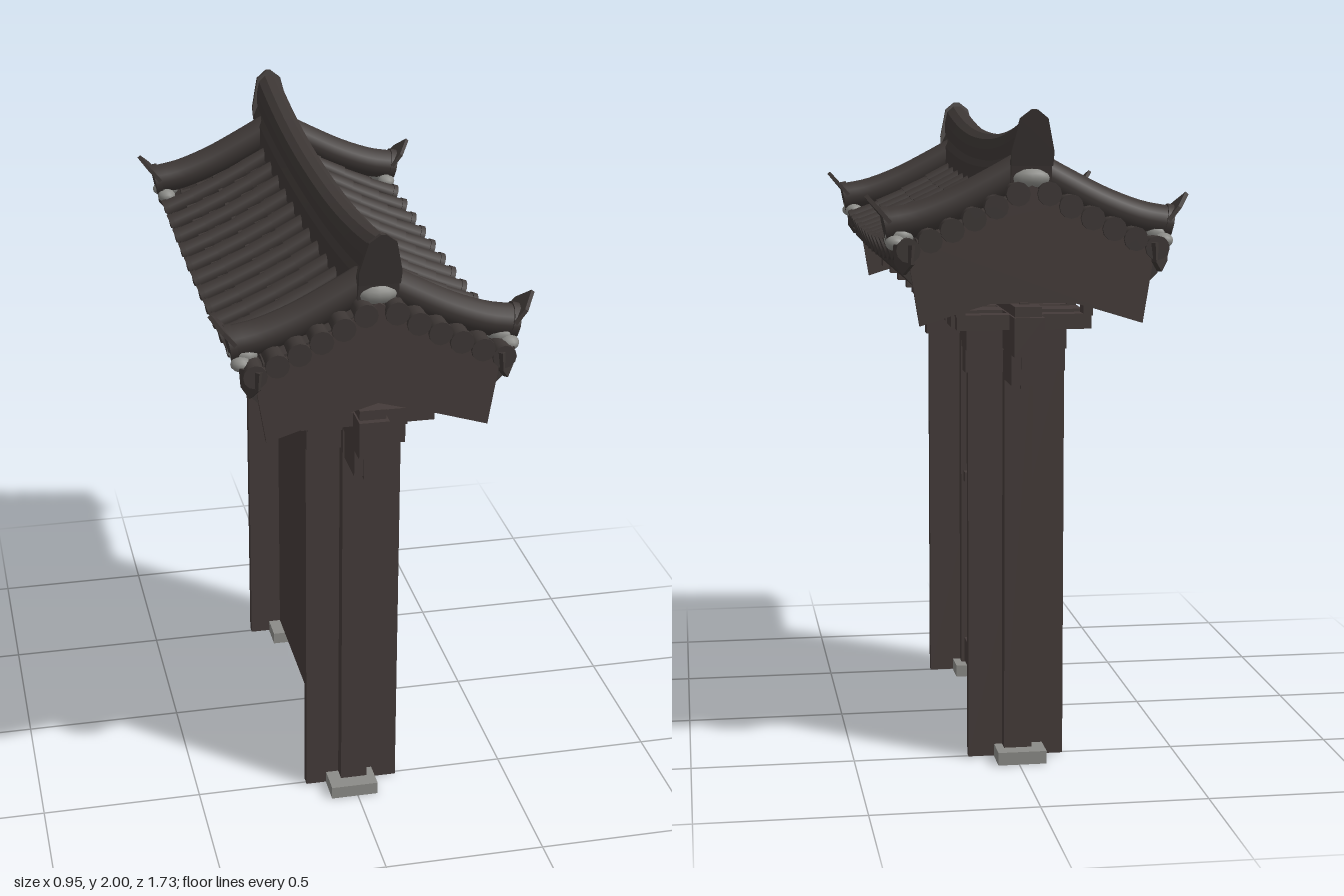
import * as THREE from 'three';

const material = (name, color) => Object.assign(new THREE.MeshStandardMaterial({ color }), { name });
const PITCH = 0.127; // spacing of the tile rolls along the roof

// roof surface height across x, and how much it sweeps up towards the gables
const roofY = x => 1.76 - 0.62 * Math.abs(x) + 0.3 * x * x;
const lift = z => 0.035 * (z / 0.8) ** 2;

export function createModel() {
  const root = new THREE.Group();
  root.name = 'gate';
  const wood = material('dark wood', 0x443b39);
  const tile = material('roof tile', 0x3d3735);
  const stone = material('pale stone', 0x8b8b87);

  const add = (name, geo, mat, x = 0, y = 0, z = 0) => {
    const m = new THREE.Mesh(geo, mat);
    m.name = name;
    m.position.set(x, y, z);
    root.add(m);
    return m;
  };
  // box given by its limits
  const box = (name, mat, x0, x1, y0, y1, z0, z1) =>
    add(name, new THREE.BoxGeometry(x1 - x0, y1 - y0, z1 - z0), mat, (x0 + x1) / 2, (y0 + y1) / 2, (z0 + z1) / 2);
  // cylinder between two points
  const rod = (name, mat, a, b, r0, r1 = r0) => {
    const p = new THREE.Vector3(...a), q = new THREE.Vector3(...b), d = q.clone().sub(p);
    const m = add(name, new THREE.CylinderGeometry(r1, r0, d.length(), 12), mat);
    m.position.copy(p).add(q).multiplyScalar(0.5);
    m.quaternion.setFromUnitVectors(new THREE.Vector3(0, 1, 0), d.normalize());
    return m;
  };
  const shapeOf = pts => new THREE.Shape(pts.map(p => new THREE.Vector2(...p)));
  const extrude = (pts, depth, steps = 1) =>
    new THREE.ExtrudeGeometry(shapeOf(pts), { depth, steps, bevelEnabled: false, curveSegments: 8 })
      .translate(0, 0, -depth / 2);
  const bend = (geo, rule) => {
    const p = geo.attributes.position;
    for (let i = 0; i < p.count; i++) p.setXYZ(i, ...rule(p.getX(i), p.getY(i), p.getZ(i)));
    geo.computeVertexNormals();
    return geo;
  };
  const mirrored = half => [...half, ...half.map(([x, y]) => [-x, y]).reverse()];

  // posts: thick core, wide cross board, stone footing, bracket block
  for (const s of [1, -1]) {
    const z = 0.5 * s;
    box('footing', stone, -0.085, 0.065, 0, 0.04, z - 0.11, z + 0.11);
    box('postCore', wood, -0.045, 0.04, 0.03, 1.3, z - 0.06, z + 0.06);
    box('postBoard', wood, -0.15, 0.145, 0.003, 1.3, z - 0.016, z + 0.016);
    box('bracketBlock', wood, -0.15, 0.155, 1.28, 1.36, z - 0.055, z + 0.055);
    box('bracketNeck', wood, -0.15, 0.155, 1.21, 1.28, z - 0.032, z + 0.032);
    box('bracketCap', wood, -0.2, 0.2, 1.35, 1.4, z - 0.05, z + 0.05);
    box('beamPeg', wood, -0.012, 0.012, 1.18, 1.43, s * 0.69 - 0.012, s * 0.69 + 0.012);
  }

  // lintel beams
  box('lowerBeam', wood, -0.04, 0.04, 1.19, 1.29, -0.695, 0.695);
  box('upperBeam', wood, -0.045, 0.045, 1.285, 1.4, -0.78, 0.78);
  box('beamTop', wood, -0.04, 0.04, 1.4, 1.43, -0.76, 0.76);

  // door leaf, frame and shaped threshold
  box('doorPanel', wood, -0.045, 0, 0.04, 1.24, -0.44, 0.44);
  box('doorHead', wood, -0.04, 0.03, 1.235, 1.2, -0.44, 0.44).scale.y = -1;
  for (const s of [1, -1]) box('doorJamb', wood, -0.03, 0.02, 0.04, 1.2, s * 0.437 - 0.006, s * 0.437 + 0.006);
  add('threshold', extrude(mirrored([[0.44, 0.045], [0.44, 0.13], [0.245, 0.13], [0.2, 0.087]]), 0.05)
    .rotateY(Math.PI / 2), wood, 0.005);

  // door straps with end bands, handles and the latch bar
  for (const y of [1.075, 0.65, 0.195]) {
    for (const [z0, z1] of [[0.045, 0.4], [-0.39, -0.035]]) {
      box('strap', wood, 0, 0.016, y - 0.018, y + 0.018, z0, z1);
      for (const z of [z0 + 0.008, z1 - 0.008]) box('strapEnd', wood, 0, 0.021, y - 0.02, y + 0.02, z - 0.008, z + 0.008);
    }
  }
  for (const z of [0.145, -0.13]) {
    box('handle', wood, 0.03, 0.045, 0.67, 0.8, z - 0.015, z + 0.015);
    for (const y of [0.685, 0.785]) box('handleFoot', wood, 0, 0.04, y - 0.015, y + 0.015, z - 0.015, z + 0.015);
  }
  box('latchBar', wood, 0.012, 0.03, 0.718, 0.748, -0.03, 0.42).rotation.x = 0.08;
  for (const z of [0.385, 0.01]) box('latchBand', wood, 0.01, 0.036, 0.748 - z * 0.08, 0.782 - z * 0.08, z - 0.02, z + 0.02).position.y -= 0.016;

  // cross arms that carry the roof
  for (const z of [0.67, 0.39, 0.13, -0.13, -0.39, -0.66]) {
    box('crossArm', wood, -0.2, 0.2, 1.355, 1.4, z - 0.027, z + 0.027);
    box('roofArm', wood, -0.29, 0.29, 1.432, 1.51, z - 0.022, z + 0.022);
    for (const x of [-0.19, 0, 0.19]) box('armPad', wood, x - 0.014, x + 0.014, 1.395, 1.435, z - 0.03, z + 0.03);
  }

  // tiled roof: stepped profile, troughs between the rolls, swept-up ends
  const slope = [];
  for (let i = 0; i < 7; i++) {
    const x0 = 0.385 - i * 0.055, x1 = x0 - 0.055;
    slope.push([x0, roofY(x0) + 0.012], [x1, roofY(x1)]);
  }
  slope[slope.length - 1] = [0.002, roofY(0)];
  const deck = [...mirrored(slope), [-0.37, 1.53], [-0.33, 1.49], [0, 1.58], [0.33, 1.49], [0.37, 1.53]];
  add('roofDeck', bend(extrude(deck, 1.62, 102), (x, y, z) => y > roofY(x) - 0.003
    ? [x, y + lift(z) - 0.007 * (1 - Math.cos(2 * Math.PI * z / PITCH)), z] : [x, y, z]), tile);

  for (const s of [1, -1]) {
    // round tile rolls with end discs
    const joints = [0.04, 0.125, 0.21, 0.3, 0.395];
    for (let k = -5; k <= 5; k++) {
      const z = k * PITCH, at = x => [s * x, roofY(x) + lift(z) + 0.014, z];
      for (let j = 0; j < 4; j++) rod('tileRoll', tile, at(joints[j]), at(joints[j + 1]), 0.027, 0.031);
      rod('rollEnd', tile, at(0.385), at(0.4), 0.034);
    }
    // drip tiles hanging between the rolls
    for (let k = -6; k < 6; k++) {
      const z = (k + 0.5) * PITCH, y = roofY(0.385) + lift(z) + 0.015;
      const drip = add('dripTile', new THREE.CylinderGeometry(0.055, 0.055, 0.012, 14, 1, false, -Math.PI / 2, Math.PI)
        .rotateZ(Math.PI / 2), tile, s * 0.386, y, z);
      drip.material = tile;
      drip.geometry.rotateX(Math.PI / 2);
      drip.scale.y = 0.75;
    }
  }

  const leaf = extrude([[0, -0.055], [0.05, -0.05], [0.1, 0], [0.05, 0.05], [0, 0.055]], 0.012)
    .rotateX(-Math.PI / 2).rotateZ(0.86);
  const board = [];
  for (let i = 0; i <= 8; i++) board.push([0.36 - i * 0.0449, roofY(0.36 - i * 0.0449) + 0.025]);

  for (const e of [1, -1]) {
    // gable board
    add('gableBoard', extrude([...mirrored(board), [-0.325, 1.385], [-0.18, 1.43], [0, 1.48], [0.18, 1.43], [0.325, 1.385]], 0.018),
      wood, 0, 0, e * 0.812);

    for (const s of [1, -1]) {
      // short rolls along the gable edge
      for (let k = 0; k < 6; k++) {
        const x = 0.045 + k * 0.063, y = roofY(x) + 0.035;
        rod('gableRoll', tile, [s * x, y, e * 0.74], [s * x, y - 0.006, e * 0.845], 0.03);
        rod('gableRollEnd', tile, [s * x, y - 0.006, e * 0.843], [s * x, y - 0.006, e * 0.855], 0.035);
      }
      // descending ridge with curled end
      const path = new THREE.CatmullRomCurve3([[0, 1.84], [0.1, 1.785], [0.22, 1.725], [0.33, 1.685], [0.41, 1.67]]
        .map(([x, y]) => new THREE.Vector3(s * x, y, e * 0.745)));
      add('gableRidge', new THREE.TubeGeometry(path, 14, 0.05, 12), tile);
      rod('gableRidgeEnd', tile, [s * 0.4, 1.672, e * 0.745], [s * 0.42, 1.668, e * 0.745], 0.055);
      add('curledTip', leaf, tile, s * 0.405, 1.68, e * 0.745).rotation.y = s < 0 ? Math.PI : 0;
      // plaster fillings and corner pendant
      for (const [x, y, z, r] of [[0.375, 1.64, 0.755, 0.042], [0.39, 1.622, 0.79, 0.03], [0.385, 1.625, 0.7, 0.03]]) {
        add('plasterFill', new THREE.SphereGeometry(r, 10, 8), stone, s * x, y, e * z).scale.y = 0.75;
      }
      const pendant = add('cornerPendant', extrude([[-0.035, 0.03], [-0.03, -0.025], [0, -0.055], [0.03, -0.025], [0.035, 0.03]], 0.016),
        tile, s * 0.37, 1.59, e * 0.835);
      pendant.rotation.y = s * e * Math.PI / 4;
    }
    const fill = add('ridgePlaster', new THREE.SphereGeometry(0.06, 12, 8), stone, 0, 1.805, e * 0.79);
    fill.scale.set(1, 0.55, 0.6);
  }

  // main ridge: stacked courses with a rounded cap, sagging in the middle
  const section = mirrored([[0.06, 1.74], [0.058, 1.81], [0.045, 1.83], [0.045, 1.865], [0.036, 1.895], [0.014, 1.91]]);
  add('mainRidge', bend(extrude(section, 1.6, 24), (x, y, z) => {
    const t = Math.max(0, (y - 1.74) / 0.17), u = Math.abs(z) / 0.8;
    return [x, y + (0.03 + 0.045 * t) * u ** 2.2, z * (1 + 0.045 * t)];
  }), tile);

  // upright ridge end tiles, leaning outwards
  for (const e of [1, -1]) {
    const end = extrude(mirrored([[0.06, 1.84], [0.062, 1.88], [0.04, 1.975], [0.008, 2]]), 0.014);
    add('ridgeEndTile', bend(end, (x, y, z) => [x, y, z + e * (0.815 + (y - 1.84) * 0.24)]), tile);
  }
  return root;
}
